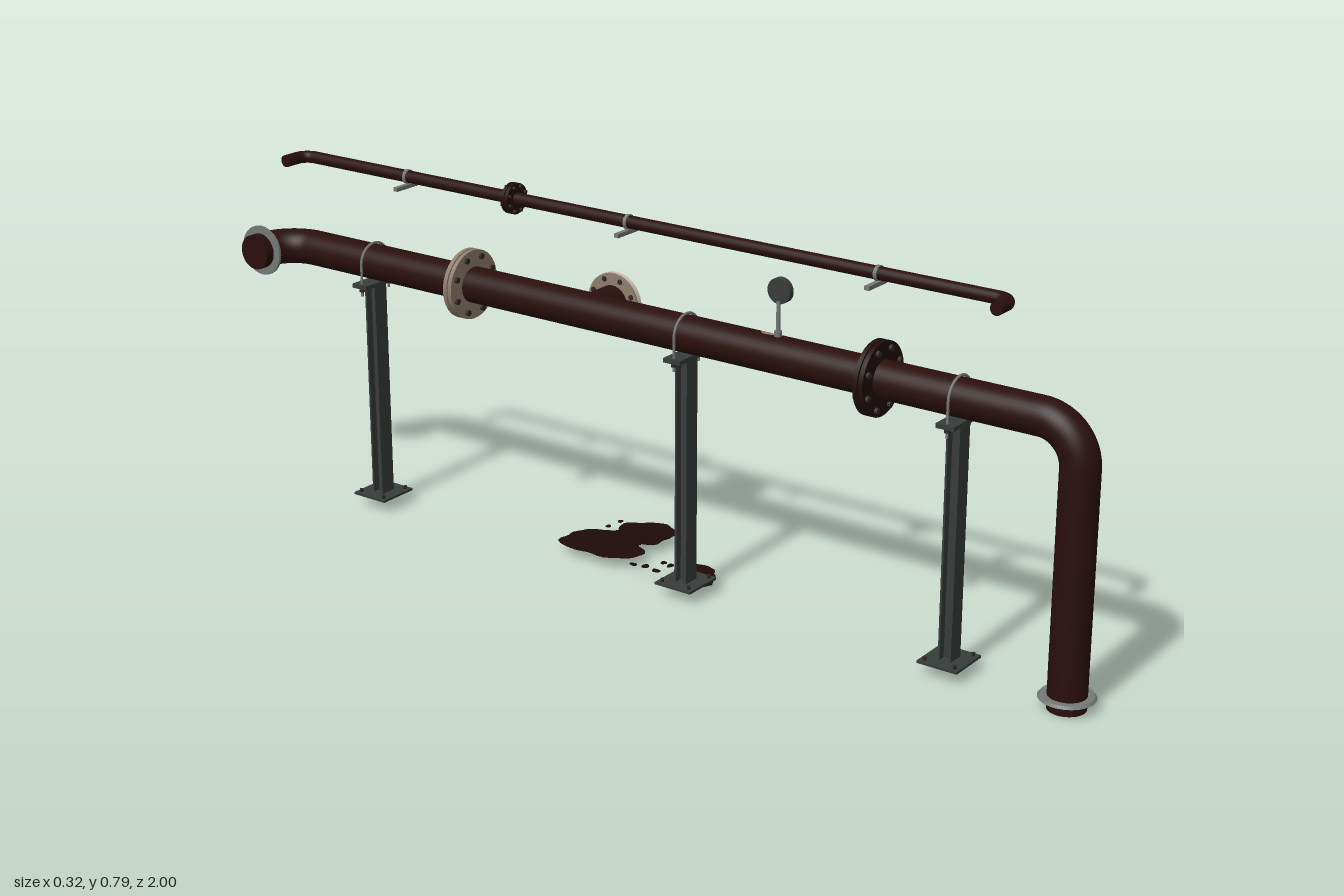
import * as THREE from 'three';

const mat = (name, color) => {
  const m = new THREE.MeshStandardMaterial({ color, side: THREE.DoubleSide });
  m.name = name;
  return m;
};
const M = {
  pipe: mat('maroon pipe paint', 0x2a0e0e),
  flange: mat('dark flange paint', 0x220d0c),
  tan: mat('weathered primer', 0x8f7d6c),
  cover: mat('pale cover', 0xcfc3b4),
  steel: mat('dark steel', 0x383c3b),
  zinc: mat('zinc grey', 0x747876),
  bolt: mat('bolt steel', 0x2c2826),
  spill: mat('spilled liquid', 0x1e090a),
};
const PX = -0.06, PY = 0.543, R = 0.037, FLOOR = 0.025;
const V = (x, y, z) => new THREE.Vector3(x, y, z);

function add(parent, name, geo, material, x = 0, y = 0, z = 0) {
  const mesh = new THREE.Mesh(geo, material);
  mesh.name = name;
  mesh.position.set(x, y, z);
  parent.add(mesh);
  return mesh;
}
const box = (w, h, d) => new THREE.BoxGeometry(w, h, d);
// Cylinder lying along z
const rod = (r, len, sides = 32) => new THREE.CylinderGeometry(r, r, len, sides).rotateX(Math.PI / 2);

// Straight runs joined by rounded quarter bends
function bentPipe(points, bend, radius, steps, sides) {
  const path = new THREE.CurvePath();
  let last = points[0];
  for (let i = 1; i < points.length - 1; i++) {
    const p = points[i];
    const toA = points[i - 1].clone().sub(p).normalize();
    const toB = points[i + 1].clone().sub(p).normalize();
    const a = p.clone().addScaledVector(toA, bend), b = p.clone().addScaledVector(toB, bend);
    path.add(new THREE.LineCurve3(last, a));
    path.add(new THREE.CubicBezierCurve3(a, a.clone().lerp(p, 0.5523), b.clone().lerp(p, 0.5523), b));
    last = b;
  }
  path.add(new THREE.LineCurve3(last, points[points.length - 1]));
  return new THREE.TubeGeometry(path, steps, radius, sides);
}

// Bolts spaced around a circle, axis along z
function boltCircle(parent, count, circle, r, len) {
  for (let i = 0; i < count; i++) {
    const a = ((i + 0.5) / count) * Math.PI * 2;
    add(parent, 'bolt', rod(r, len, 6), M.bolt, Math.cos(a) * circle, Math.sin(a) * circle, 0);
  }
}

// Two bolted discs with a gasket between them
function flangeJoint(name, r, thick, material, bolts, boltR) {
  const g = new THREE.Group();
  g.name = name;
  for (const s of [-1, 1]) add(g, 'flangeDisc', rod(r, thick, 40), material, 0, 0, s * thick * 0.65);
  add(g, 'gasket', rod(r * 0.85, thick * 0.5), M.bolt);
  boltCircle(g, bolts, r * 0.82, boltR, thick * 3.6);
  return g;
}

// Wobbly closed outline
function blob(rx, ry, seed, n = 40) {
  const pts = [];
  for (let i = 0; i < n; i++) {
    const a = (i / n) * Math.PI * 2;
    const k = 1 + 0.09 * Math.sin(3 * a + seed) + 0.05 * Math.sin(5 * a + seed * 2.3) + 0.03 * Math.sin(9 * a + seed);
    pts.push(new THREE.Vector2(Math.cos(a) * rx * k, Math.sin(a) * ry * k));
  }
  return new THREE.Shape(pts);
}

// Flaked paint patch wrapped round the main pipe
function flake(parent, z, angle, halfLen, halfWidth, seed) {
  const pos = [], idx = [], n = 24, r = R + 0.0008;
  const put = (u, v) => {
    const a = angle + v / r;
    pos.push(Math.cos(a) * r, Math.sin(a) * r, u);
  };
  put(0, 0);
  for (const ring of [0.5, 1]) for (const p of blob(halfLen, halfWidth, seed, n).getPoints().slice(0, n)) put(p.x * ring, p.y * ring);
  for (let i = 0; i < n; i++) {
    const a = 1 + i, b = 1 + ((i + 1) % n);
    idx.push(0, b, a, a, b, a + n, b, b + n, a + n);
  }
  const geo = new THREE.BufferGeometry();
  geo.setAttribute('position', new THREE.Float32BufferAttribute(pos, 3));
  geo.setIndex(idx);
  geo.computeVertexNormals();
  add(parent, 'paintFlake', geo, M.tan, PX, PY, z);
}

// Post with foot plate, saddle and U-bolt
function support() {
  const g = new THREE.Group();
  g.name = 'support';
  add(g, 'footPlate', box(0.09, 0.005, 0.085), M.steel, 0, FLOOR + 0.0025, 0);
  for (const s of [-1, 1]) {
    add(g, 'postFlange', box(0.035, 0.465, 0.004), M.steel, 0, 0.2625, s * 0.012);
    for (const t of [-1, 1]) add(g, 'anchorBolt', new THREE.CylinderGeometry(0.004, 0.004, 0.007, 6), M.bolt, s * 0.034, 0.033, t * 0.032);
  }
  add(g, 'postWeb', box(0.005, 0.465, 0.024), M.steel, 0, 0.2625, 0);
  add(g, 'postFlake', box(0.001, 0.038, 0.012), M.cover, 0.0035, 0.051, -0.004);
  add(g, 'saddle', box(0.098, 0.009, 0.038), M.steel, 0, 0.499, 0);
  const r = 0.0405, dy = PY;
  const arch = new THREE.CurvePath();
  const pts = [];
  for (let i = 0; i <= 20; i++) pts.push(V(r * Math.cos((Math.PI * i) / 20), dy + r * Math.sin((Math.PI * i) / 20), 0));
  arch.add(new THREE.LineCurve3(V(r, 0.477, 0), pts[0]));
  arch.add(new THREE.CatmullRomCurve3(pts));
  arch.add(new THREE.LineCurve3(pts[20], V(-r, 0.477, 0)));
  add(g, 'uBolt', new THREE.TubeGeometry(arch, 48, 0.0028, 8), M.zinc);
  for (const s of [-1, 1]) add(g, 'uBoltNut', new THREE.CylinderGeometry(0.006, 0.006, 0.006, 6), M.bolt, s * r, 0.49, 0);
  return g;
}

export function createModel() {
  const root = new THREE.Group();
  root.name = 'pipeRun';

  // Main pipe: up from the floor, along z, then out to the side
  add(root, 'mainPipe', bentPipe([V(PX, 0, 0.945), V(PX, PY, 0.945), V(PX, PY, -0.947), V(-0.162, PY, -0.947)], 0.08, R, 280, 32), M.pipe);
  add(root, 'pipeCap', new THREE.CircleGeometry(R, 32).rotateX(Math.PI / 2), M.pipe, PX, 0.0005, 0.945);
  add(root, 'pipeCap', new THREE.CircleGeometry(R, 32).rotateY(-Math.PI / 2), M.pipe, -0.162, PY, -0.947);
  add(root, 'floorCollar', new THREE.CylinderGeometry(0.05, 0.054, 0.005, 40), M.zinc, PX, FLOOR, 0.945);
  add(root, 'wallCollar', new THREE.CylinderGeometry(0.053, 0.053, 0.005, 40).rotateZ(Math.PI / 2), M.zinc, -0.14, PY, -0.946);

  // Bolted joints
  for (const [name, z, m] of [['frontFlange', 0.53, M.flange], ['rearFlange', -0.44, M.tan]]) {
    const f = flangeJoint(name, 0.072, 0.009, m, 8, 0.0065);
    f.position.set(PX, PY, z);
    root.add(f);
  }

  // Side branch closed by a round cover
  const branch = new THREE.Group();
  branch.name = 'sideBranch';
  add(branch, 'branchStub', rod(0.036, 0.07), M.pipe, 0, 0, 0.035);
  add(branch, 'branchFlange', rod(0.06, 0.006, 40), M.tan, 0, 0, 0.072);
  add(branch, 'coverPlate', rod(0.061, 0.009, 40), M.cover, 0, 0, 0.079);
  const coverBolts = new THREE.Group();
  coverBolts.name = 'coverBolts';
  coverBolts.position.z = 0.078;
  boltCircle(coverBolts, 8, 0.05, 0.006, 0.022);
  branch.add(coverBolts);
  add(branch, 'leakStreak', new THREE.ShapeGeometry(blob(0.008, 0.014, 2)), M.spill, 0.006, -0.047, 0.084);
  branch.position.set(PX, PY, -0.13);
  branch.rotation.y = Math.PI / 2;
  root.add(branch);

  // Supports
  for (const z of [0.7, 0.1, -0.7]) {
    const s = support();
    s.position.set(PX, 0, z);
    root.add(s);
  }

  // Pressure gauge
  const gauge = new THREE.Group();
  gauge.name = 'gauge';
  add(gauge, 'gaugeStem', new THREE.CylinderGeometry(0.004, 0.004, 0.075, 12), M.zinc, 0, 0.61, 0);
  add(gauge, 'gaugeNut', new THREE.CylinderGeometry(0.008, 0.008, 0.012, 6), M.zinc, 0, 0.584, 0);
  add(gauge, 'gaugeCase', rod(0.025, 0.013).rotateY(Math.PI / 2), M.steel, 0.006, 0.667, 0);
  add(gauge, 'gaugeDial', rod(0.022, 0.001).rotateY(Math.PI / 2), M.cover, 0.0128, 0.667, 0);
  const needle = add(gauge, 'gaugeNeedle', box(0.001, 0.018, 0.002), M.bolt, 0.0138, 0.67, 0.003);
  needle.rotation.x = 0.7;
  gauge.position.set(PX, 0, 0.31);
  root.add(gauge);

  // Thin upper pipe with its union and brackets
  const UX = -0.103, UY = 0.757, UR = 0.0125;
  add(root, 'upperPipe', bentPipe([V(-0.162, UY, 0.821), V(UX, UY, 0.821), V(UX, UY, -0.842), V(-0.162, UY, -0.842)], 0.026, UR, 300, 16), M.pipe);
  for (const z of [0.821, -0.842]) add(root, 'upperPipeCap', new THREE.CircleGeometry(UR, 16).rotateY(-Math.PI / 2), M.pipe, -0.162, UY, z);
  const union = flangeJoint('upperUnion', 0.031, 0.007, M.flange, 8, 0.0035);
  union.position.set(UX, UY, -0.285);
  root.add(union);
  for (const z of [0.55, -0.005, -0.56]) {
    add(root, 'upperBracket', box(0.062, 0.008, 0.01), M.zinc, -0.111, 0.738, z);
    add(root, 'upperClamp', rod(0.0145, 0.007, 20), M.zinc, UX, UY, z);
  }

  // Flaked paint: z, angle round the pipe, half length, half width
  const flakes = [[0.82, -1.2, 0.03, 0.008], [0.29, 1.55, 0.02, 0.006], [0, -1.05, 0.035, 0.012], [-0.2, -1.3, 0.035, 0.014],
    [-0.3, -1.1, 0.04, 0.014], [-0.36, -1.5, 0.025, 0.012], [-0.52, -1.2, 0.025, 0.01], [-0.6, -1.3, 0.035, 0.013],
    [-0.78, -1.1, 0.035, 0.014], [-0.85, -1.2, 0.025, 0.013]];
  flakes.forEach(([z, a, l, w], i) => flake(root, z, a, l, w, i * 1.7));

  // Puddles and drips: x, z, half sizes
  const spills = [[0, -0.15, 0.062, 0.092], [0.097, -0.112, 0.055, 0.06], [0.045, -0.13, 0.035, 0.045], [-0.008, 0.09, 0.035, 0.042],
    [-0.04, 0.12, 0.02, 0.03], [-0.05, 0.02, 0.006, 0.009], [-0.045, -0.01, 0.008, 0.007], [-0.052, -0.035, 0.005, 0.008],
    [-0.01, 0.01, 0.006, 0.006], [0.075, -0.195, 0.006, 0.005], [0.11, -0.19, 0.006, 0.005], [-0.015, 0.03, 0.008, 0.006]];
  spills.forEach(([x, z, rx, rz], i) => {
    const geo = new THREE.ExtrudeGeometry(blob(rx, rz, i * 2.1 + 1), { depth: 0.002, bevelEnabled: false });
    add(root, i < 5 ? 'puddle' : 'drip', geo.rotateX(-Math.PI / 2), M.spill, x, FLOOR - 0.002 + i * 0.0002, z);
  });
  return root;
}
